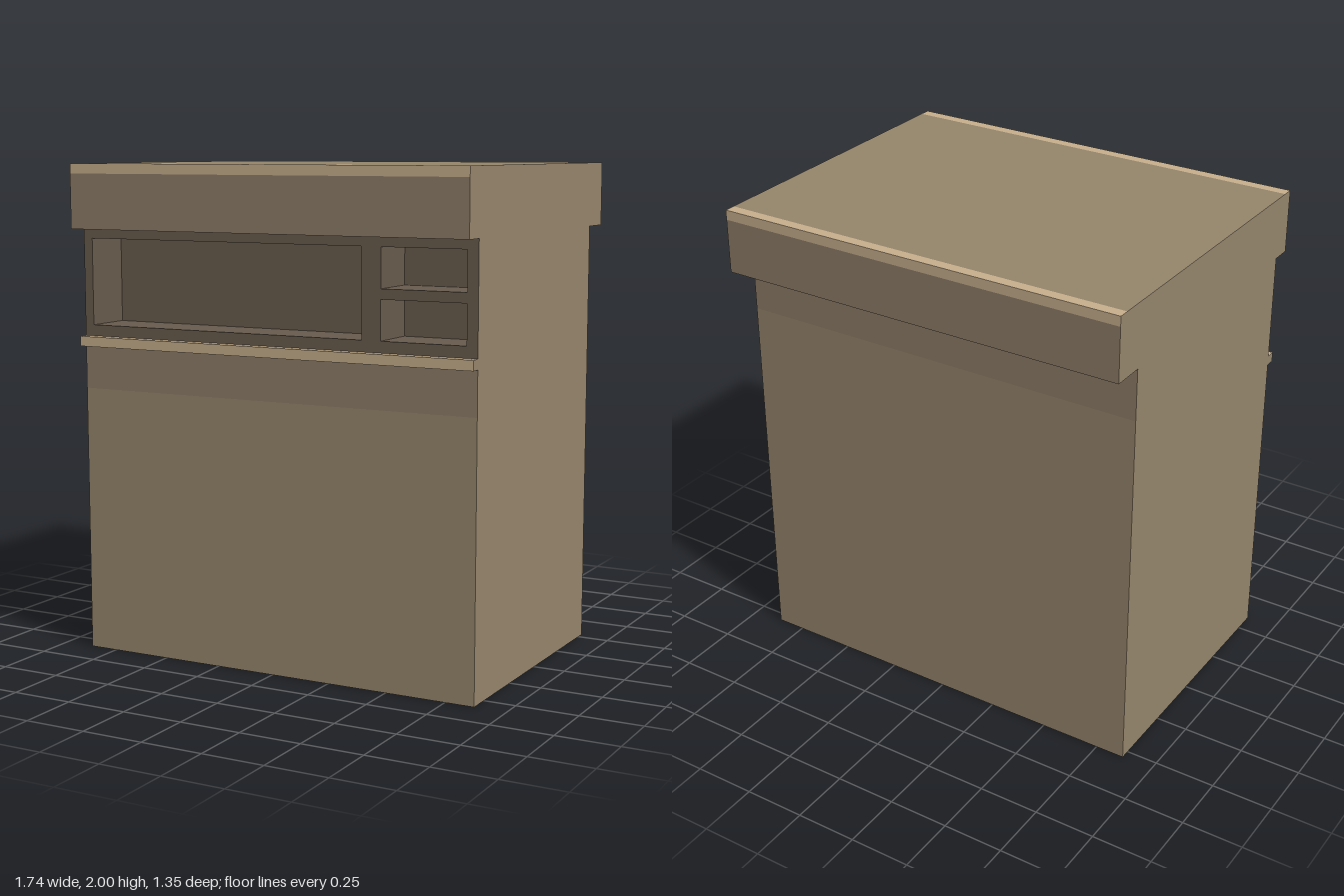
import * as THREE from 'three';

const W = 0.87; // half width
const mat = (color) => new THREE.MeshStandardMaterial({ color });
const MAIN = mat(0x95856b), BAND = mat(0x8c7c66), DARK = mat(0x675b4d), TRIM = mat(0xc6ae8c);

// Side profile as [z, y, name and material of the face running to the next point]
const PROFILE = [
  [0.59, 0, 'frontPanel', MAIN],
  [0.59, 1.09, 'frontBand', BAND],
  [0.59, 1.265, 'ledgeUnderside', TRIM],
  [0.63, 1.265, 'ledgeFront', TRIM],
  [0.63, 1.305, 'ledgeTop', TRIM],
  [0.59, 1.305, null, null], // shelf front is built separately
  [0.59, 1.74, 'capFrontUnderside', MAIN],
  [0.675, 1.74, 'capFront', BAND],
  [0.675, 1.96, 'capFrontTrim', TRIM],
  [0.675, 2, 'topFrontTrim', TRIM],
  [0.63, 2, 'top', MAIN],
  [-0.63, 2, 'topBackTrim', TRIM],
  [-0.675, 2, 'capBackTrim', TRIM],
  [-0.675, 1.96, 'capBack', BAND],
  [-0.675, 1.74, 'capBackUnderside', MAIN],
  [-0.54, 1.74, 'backBand', BAND],
  [-0.54, 1.53, 'backPanel', MAIN],
  [-0.54, 0, 'bottom', MAIN],
];

// Niche openings in the shelf front: x0, x1, y0, y1
const NICHES = [
  [-0.83, 0.395, 1.35, 1.7],
  [0.475, 0.825, 1.545, 1.7],
  [0.475, 0.825, 1.35, 1.505],
];
const DEPTH = 0.2;

const polygon = (pts) => pts.map(([x, y]) => new THREE.Vector2(x, y));
const rect = (x0, x1, y0, y1) => polygon([[x0, y0], [x1, y0], [x1, y1], [x0, y1]]);

// Flat strip spanning the full width between two profile points
function strip([z0, y0], [z1, y1]) {
  const g = new THREE.BufferGeometry();
  g.setAttribute('position', new THREE.Float32BufferAttribute(
    [-W, y0, z0, W, y0, z0, W, y1, z1, -W, y1, z1], 3));
  g.setIndex([0, 1, 2, 0, 2, 3]);
  g.computeVertexNormals();
  return g;
}

// Inward-facing box without its front face
function nicheGeometry([x0, x1, y0, y1]) {
  const box = new THREE.BoxGeometry(x1 - x0, y1 - y0, DEPTH);
  const index = Array.from(box.index.array);
  index.splice(24, 6);
  box.setIndex(index.reverse());
  const g = box.toNonIndexed();
  g.computeVertexNormals();
  return g.translate((x0 + x1) / 2, (y0 + y1) / 2, 0.59 - DEPTH / 2);
}

export function createModel() {
  const model = new THREE.Group();
  model.name = 'cabinet';
  const add = (name, geometry, material) => {
    const mesh = new THREE.Mesh(geometry, material);
    mesh.name = name;
    model.add(mesh);
  };

  // Outer faces around the profile
  PROFILE.forEach((p, i) => {
    if (p[2]) add(p[2], strip(p, PROFILE[(i + 1) % PROFILE.length]), p[3]);
  });

  // Side walls
  for (const s of [-1, 1]) {
    const shape = new THREE.Shape(polygon(PROFILE.map(([z, y]) => [-s * z, y])));
    const g = new THREE.ShapeGeometry(shape).rotateY(s * Math.PI / 2).translate(s * W, 0, 0);
    add(s > 0 ? 'leftSide' : 'rightSide', g, MAIN);
  }

  // Shelf front with openings, and the niches behind them
  const front = new THREE.Shape(rect(-W, W, 1.305, 1.74));
  front.holes = NICHES.map((n) => new THREE.Path(rect(...n)));
  add('shelfFront', new THREE.ShapeGeometry(front).translate(0, 0, 0.59), DARK);
  NICHES.forEach((n, i) => add(['largeNiche', 'upperNiche', 'lowerNiche'][i], nicheGeometry(n), DARK));

  return model;
}
